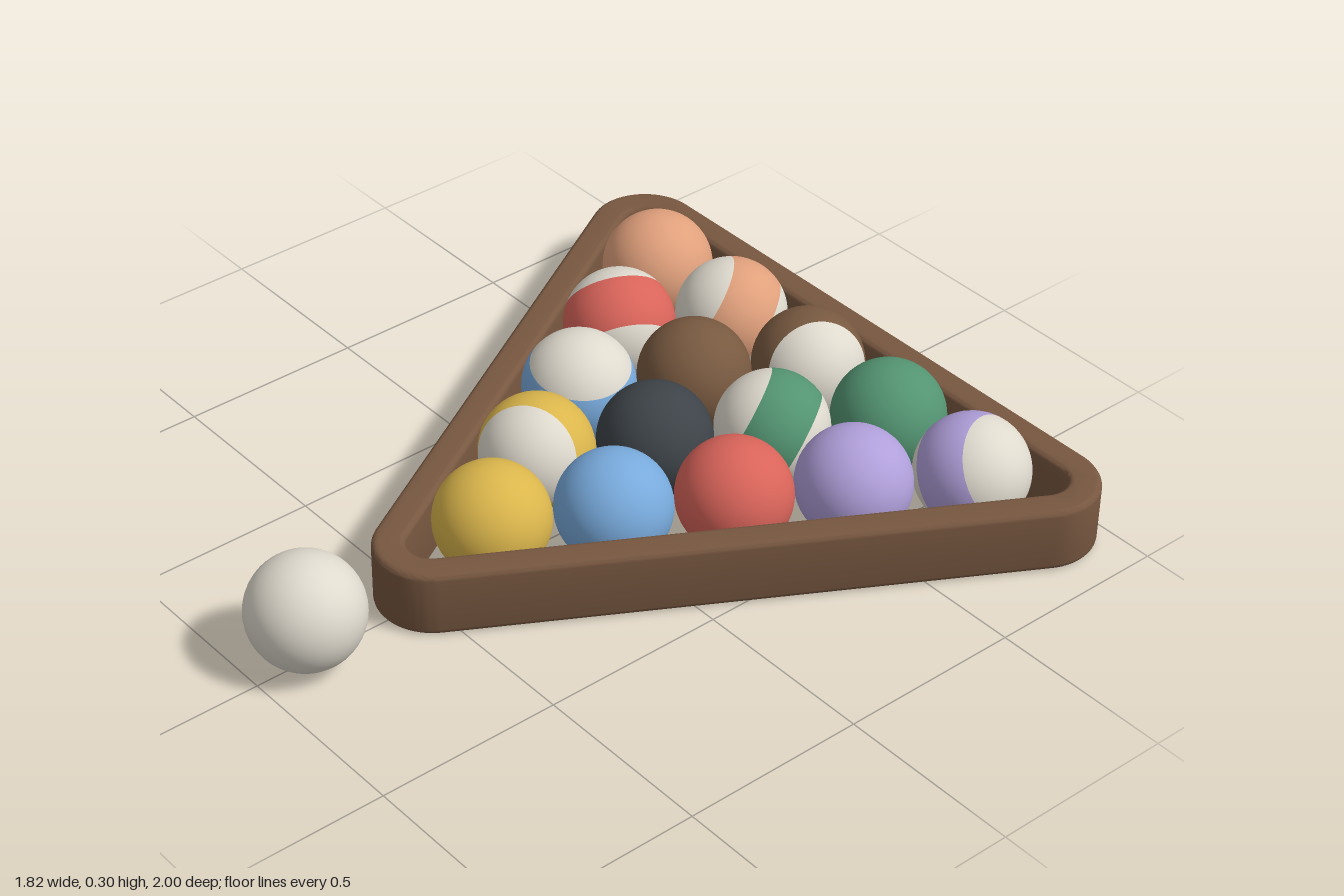
import * as THREE from 'three';
import { toCreasedNormals } from 'three/addons/utils/BufferGeometryUtils.js';

const mat = (name, color) => {
  const m = new THREE.MeshStandardMaterial({ color });
  m.name = name;
  return m;
};

const R = 0.15;            // ball radius
const BALL_Y = 0.153;
const SPACING = 0.303;     // distance between neighbouring balls
const CAP = Math.acos(0.48); // polar angle where a stripe begins

// Rounded equilateral triangle around three corner centres
function roundedTriangle(path, r) {
  const corners = [[0, -0.47], [0.76, 0.85], [-0.76, 0.85]];
  corners.forEach(([x, y], i) => {
    const start = (-150 + 120 * i) * Math.PI / 180;
    path.absarc(x, y, r, start, start + 2 * Math.PI / 3, false);
  });
  path.closePath();
  return path;
}

function makeRack(material) {
  const bevel = 0.016, height = 0.18;
  const shape = roundedTriangle(new THREE.Shape(), 0.15);
  shape.holes.push(roundedTriangle(new THREE.Path(), 0.066));
  const geo = new THREE.ExtrudeGeometry(shape, {
    depth: height - 2 * bevel, curveSegments: 16,
    bevelEnabled: true, bevelThickness: bevel, bevelSize: bevel,
    bevelOffset: -bevel, bevelSegments: 4,
  });
  geo.rotateX(-Math.PI / 2);
  geo.translate(0, bevel, 0);
  const rack = new THREE.Mesh(toCreasedNormals(geo, 0.6), material);
  rack.name = 'triangleRack';
  return rack;
}

function solidBall(name, material) {
  const ball = new THREE.Mesh(new THREE.SphereGeometry(R, 48, 32), material);
  ball.name = name;
  return ball;
}

// Two pale caps and a coloured band, with the cap axis turned to face a direction
function stripedBall(name, bandMaterial, capMaterial, axis) {
  const ball = new THREE.Group();
  ball.name = name;
  const zones = [
    ['upperCap', 0, CAP, capMaterial],
    ['stripe', CAP, Math.PI - 2 * CAP, bandMaterial],
    ['lowerCap', Math.PI - CAP, CAP, capMaterial],
  ];
  for (const [part, start, length, material] of zones) {
    const geo = new THREE.SphereGeometry(R, 48, 12, 0, Math.PI * 2, start, length);
    const mesh = new THREE.Mesh(geo, material);
    mesh.name = part;
    ball.add(mesh);
  }
  ball.quaternion.setFromUnitVectors(
    new THREE.Vector3(0, 1, 0), new THREE.Vector3(...axis).normalize());
  return ball;
}

export function createModel() {
  const model = new THREE.Group();
  model.name = 'rackedBalls';

  const wood = mat('wood', 0x775740);
  const cream = mat('cream', 0xdfdace);
  const colors = {
    yellow: mat('yellow', 0xdbb64c),
    blue: mat('blue', 0x78aadc),
    red: mat('red', 0xd9645a),
    purple: mat('purple', 0xb09fda),
    orange: mat('orange', 0xe0a07c),
    green: mat('green', 0x539472),
    brown: mat('brown', 0x785940),
    black: mat('black', 0x3d4348),
  };

  model.add(makeRack(wood));

  // Rows from the apex to the back, left to right along x; an axis marks a striped ball
  const rows = [
    [['yellow']],
    [['yellow', [0.47, 0.35, 0.81]], ['blue']],
    [['blue', [0.16, 0.98, 0.06]], ['black'], ['red']],
    [['red', [-0.77, 0.5, -0.38]], ['brown'], ['green', [-0.72, 0.42, 0.55]], ['purple']],
    [['orange'], ['orange', [-0.59, 0.5, 0.63]], ['brown', [0.87, 0.3, 0.39]], ['green'],
      ['purple', [0.83, 0.5, -0.25]]],
  ];
  rows.forEach((row, r) => row.forEach(([color, axis], i) => {
    const ball = axis
      ? stripedBall(color + 'StripedBall', colors[color], cream, axis)
      : solidBall(color + 'Ball', colors[color]);
    ball.position.set((i - r / 2) * SPACING, BALL_Y, 0.287 - r * SPACING * Math.sqrt(3) / 2);
    model.add(ball);
  }));

  // Loose ball in front of the rack
  const cue = solidBall('cueBall', cream);
  cue.position.set(0, BALL_Y, 0.85);
  model.add(cue);

  return model;
}
